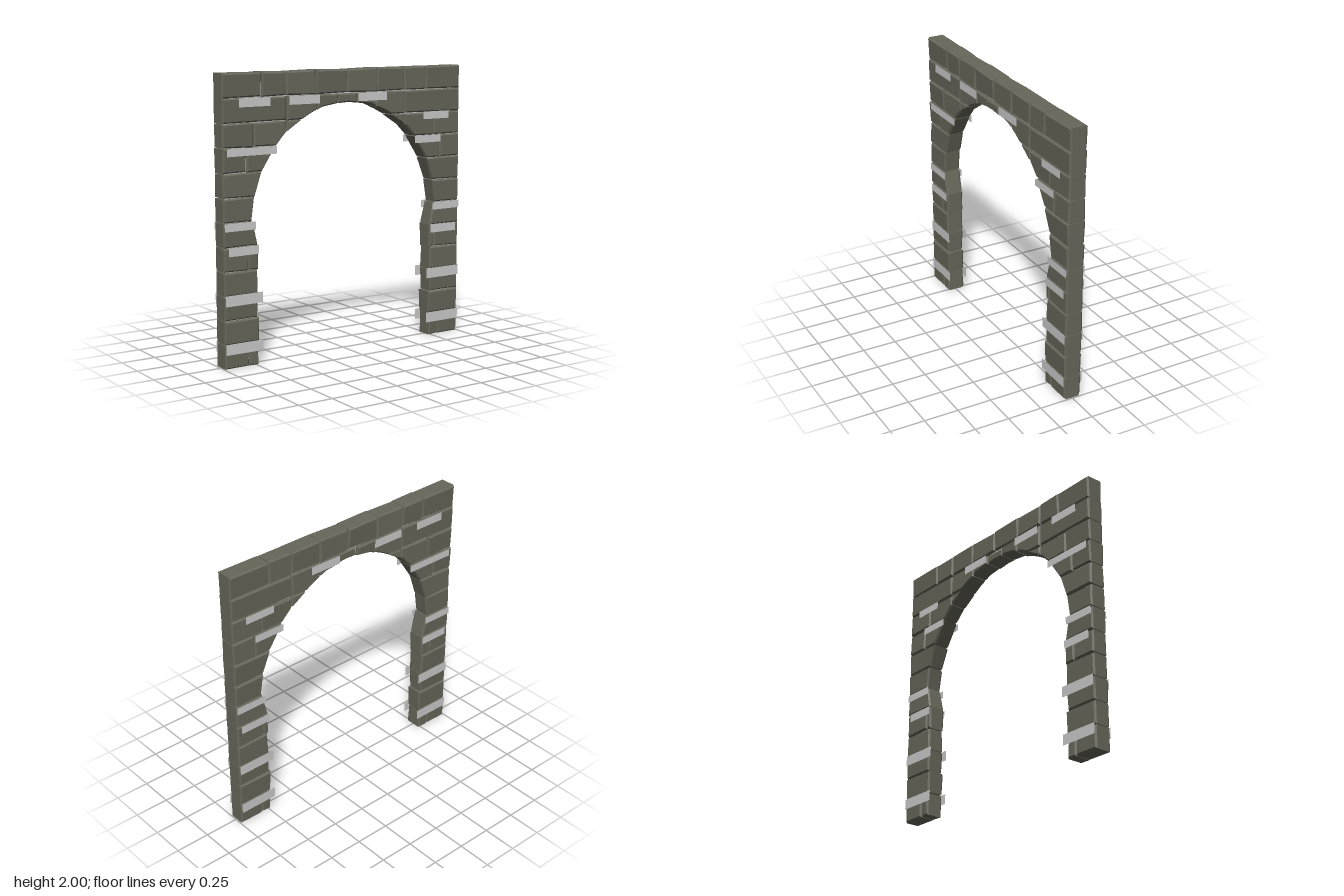
import * as THREE from 'three';

const stone = new THREE.MeshStandardMaterial({ color: 0x67665a, flatShading: true });
const grey = new THREE.MeshStandardMaterial({ color: 0xcccccc, side: THREE.DoubleSide });

const ROW = 1 / 6; // course height
const MID = -0.003; // middle of the wall in z

// Underside of the arch for x >= 0, from crown to springing
const ARCH = [[0, 1.768], [0.08, 1.762], [0.2, 1.745], [0.3, 1.703], [0.37, 1.667],
  [0.5, 1.585], [0.58, 1.5], [0.69, 1.333], [0.75, 1.167]];

// Leg courses from the ground: inner x at bottom, inner x at top, cut on right, cut on left
const LEGS = [[0.73, 0.735, 0.81, 0.81], [0.725, 0.72], [0.735, 0.73], [0.73, 0.735],
  [0.725, 0.725, 0.77, 0.81], [0.728, 0.765], [0.775, 0.75], [0.75, 0.69]];

// Courses over the arch: x of the joints on one side
const SPANDRELS = { 8: [0.58, 0.815, 0.995], 9: [0.37, 0.495, 0.755, 0.995], 10: [0.08, 0.245, 0.495, 0.995] };
const TOP = [-0.995, -0.69, -0.5, -0.26, 0, 0.25, 0.49, 0.68, 0.995];

// Straps: x from, x to, y from, y to
const PAIRED_STRAPS = [[0.7, 0.99, 0.1, 0.175], [0.7, 0.99, 0.435, 0.51], [0.73, 0.96, 0.775, 0.835], [0.75, 0.99, 0.945, 1]];
const SINGLE_STRAPS = [[-0.965, -0.58, 1.447, 1.5], [0.58, 0.815, 1.447, 1.5], [0.655, 0.885, 1.617, 1.672],
  [-0.87, -0.63, 1.772, 1.832], [-0.48, -0.235, 1.772, 1.832], [0.085, 0.33, 1.772, 1.832]];

let seed = 7;
function rnd() {
  seed = (seed * 16807) % 2147483647;
  return (seed / 2147483647) * 2 - 1;
}

function archY(x) {
  for (let i = 1; i < ARCH.length; i++) {
    const [ax, ay] = ARCH[i - 1], [bx, by] = ARCH[i];
    if (x <= bx) return ay + ((x - ax) / (bx - ax)) * (by - ay);
  }
  return 0;
}

// Outline of a block whose underside follows the arch
function archBlock(x0, x1, y0, y1) {
  const xs = [x0, ...ARCH.map(p => p[0]).filter(x => x > x0 + 0.01 && x < x1 - 0.01), x1];
  const pts = xs.map(x => [x, Math.max(y0, archY(x))]);
  pts.push([x1, y1]);
  if (y1 - pts[0][1] > 0.01) pts.push([x0, y1]);
  return pts;
}

function extrude(points, depth, thick, size, inset) {
  const shape = new THREE.Shape(points.map(p => new THREE.Vector2(...p)));
  const geo = new THREE.ExtrudeGeometry(shape, {
    depth: depth - 2 * thick, bevelEnabled: true, bevelSegments: 1,
    bevelThickness: thick, bevelSize: size, bevelOffset: -size - inset, steps: 1,
  });
  return geo.translate(0, 0, -(depth - 2 * thick) / 2);
}

export function createModel() {
  const group = new THREE.Group();
  group.name = 'stoneArch';

  // One chamfered stone, its faces tilted a little
  function addStone(name, points, z = MID) {
    const geo = extrude(points, 0.13, 0.013, 0.01, 0.002);
    geo.computeBoundingBox();
    const c = geo.boundingBox.getCenter(new THREE.Vector3());
    const s = geo.boundingBox.getSize(new THREE.Vector3());
    const a = rnd() * 0.06 / s.x, b = rnd() * 0.14 / s.y;
    const sx = rnd() * 0.012 / s.x;
    const p = geo.attributes.position;
    for (let i = 0; i < p.count; i++) {
      const dx = p.getX(i) - c.x, dy = p.getY(i) - c.y;
      p.setZ(i, p.getZ(i) * (1 + a * dx + b * dy));
      p.setY(i, p.getY(i) + sx * dx * Math.sign(dy) * 0.5);
    }
    geo.computeVertexNormals();
    const mesh = new THREE.Mesh(geo, stone);
    mesh.name = name;
    mesh.position.z = z;
    group.add(mesh);
  }

  for (const side of [1, -1]) {
    const flip = pts => pts.map(([x, y]) => [x * side, y]);
    const label = side > 0 ? 'left' : 'right';

    // Leg courses, some split by an upright joint
    LEGS.forEach(([xb, xt, cutR, cutL], i) => {
      const y0 = i * ROW, y1 = y0 + ROW, cut = side > 0 ? cutR : cutL;
      const outer = 0.995, end = cut ?? outer;
      addStone(label + 'LegStone', flip([[xb, y0], [end, y0], [end, y1], [xt, y1]]));
      if (cut) addStone(label + 'LegStone', flip([[cut, y0], [outer, y0], [outer, y1], [cut, y1]]));
    });

    // Stones above the springing
    for (const [row, cuts] of Object.entries(SPANDRELS)) {
      for (let i = 1; i < cuts.length; i++) {
        addStone(label + 'ArchStone', flip(archBlock(cuts[i - 1], cuts[i], row * ROW, row * ROW + ROW)));
      }
    }
  }

  // Crown stone, set slightly forward
  addStone('keystone', [[-0.08, 1.762], [0, 1.768], [0.08, 1.762], [0.08, 11 * ROW], [-0.08, 11 * ROW]], MID + 0.008);

  // Top course
  for (let i = 1; i < TOP.length; i++) {
    const x0 = TOP[i - 1], x1 = TOP[i];
    addStone('topStone', [[x0, 11 * ROW], [x1, 11 * ROW], [x1, 2], [x0, 2]]);
  }

  // Recessed mortar filling the joints
  const half = [[0.97, 0.03], [0.97, 1.97]];
  const inner = [[0.755, 0.03], [0.755, 0.84], [0.795, 1], [0.775, 1.167], ...ARCH.slice(1, -1).reverse().map(([x, y]) => [x + 0.02, y + 0.018])];
  const right = [...inner.reverse(), ...half];
  const left = right.map(([x, y]) => [-x, y]).reverse();
  const mortar = new THREE.Mesh(extrude([...right, ...left], 0.09, 0.002, 0.002, 0), grey);
  mortar.name = 'mortar';
  mortar.position.z = MID;
  group.add(mortar);

  // Thin straps on the front and back faces
  const straps = [...SINGLE_STRAPS];
  for (const [a, b, c, d] of PAIRED_STRAPS) straps.push([a, b, c, d], [-b, -a, c, d]);
  for (const [x0, x1, y0, y1] of straps) {
    for (const z of [0.067, -0.074]) {
      const strap = new THREE.Mesh(new THREE.PlaneGeometry(x1 - x0, y1 - y0), grey);
      strap.name = z > 0 ? 'frontStrap' : 'backStrap';
      strap.position.set((x0 + x1) / 2, (y0 + y1) / 2, z);
      if (z < 0) strap.rotation.y = Math.PI;
      group.add(strap);
    }
  }
  return group;
}
